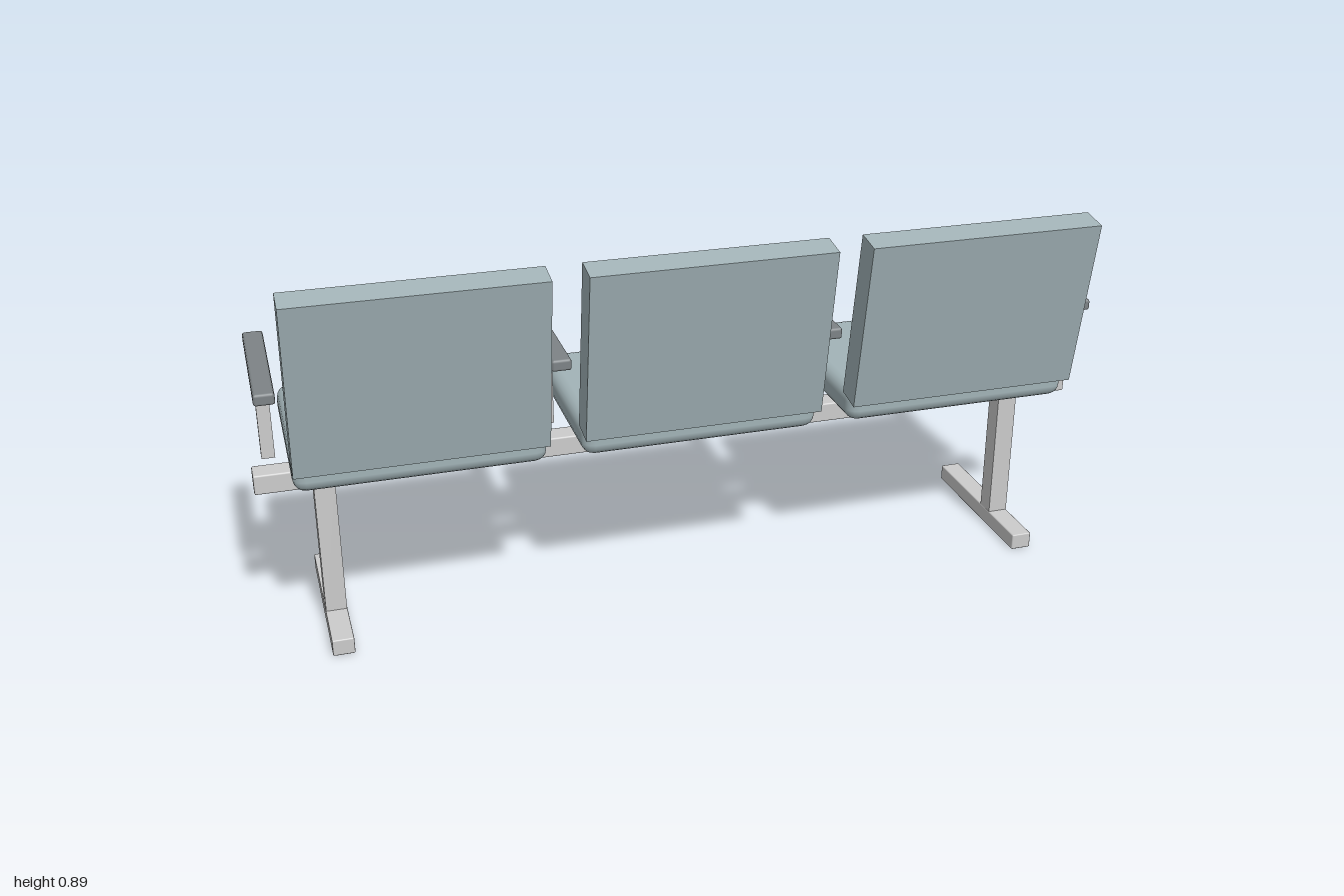
import * as THREE from 'three';
import { RoundedBoxGeometry } from 'three/addons/geometries/RoundedBoxGeometry.js';

const metal = new THREE.MeshStandardMaterial({ color: 0xcccccc });
const upholstery = new THREE.MeshStandardMaterial({ color: 0xa2b3b7 });
const armPad = new THREE.MeshStandardMaterial({ color: 0x7d8386 });

// Box given by its [min, max] extents; a radius rounds the edges.
function block(name, material, [x0, x1], [y0, y1], [z0, z1], radius = 0, segments = 1) {
  const size = [x1 - x0, y1 - y0, z1 - z0];
  const geometry = radius
    ? new RoundedBoxGeometry(...size, segments, radius)
    : new THREE.BoxGeometry(...size);
  const mesh = new THREE.Mesh(geometry, material);
  mesh.name = name;
  mesh.position.set((x0 + x1) / 2, (y0 + y1) / 2, (z0 + z1) / 2);
  return mesh;
}

const around = (x, width) => [x - width / 2, x + width / 2];

// Cushion with softened edges and a slab backrest leaning away from it
function createSeat(x) {
  const seat = new THREE.Group();
  seat.name = 'seat';
  const backrest = new THREE.Mesh(new THREE.BoxGeometry(0.56, 0.418, 0.068), upholstery);
  backrest.name = 'backrest';
  backrest.position.set(x, 0.678, 0.208);
  backrest.rotation.x = THREE.MathUtils.degToRad(10);
  seat.add(
    block('cushion', upholstery, around(x, 0.56), [0.413, 0.49], [-0.277, 0.18], 0.028, 2),
    backrest
  );
  return seat;
}

// Slim post carrying a dark pad
function createArmrest(x) {
  const armrest = new THREE.Group();
  armrest.name = 'armrest';
  armrest.add(
    block('armrestPost', metal, around(x, 0.03), [0.42, 0.626], [-0.043, -0.013]),
    block('armrestPad', armPad, around(x, 0.046), [0.623, 0.65], [-0.217, 0.162], 0.006)
  );
  return armrest;
}

// Upright on a long floor foot
function createLeg(x) {
  const leg = new THREE.Group();
  leg.name = 'leg';
  leg.add(
    block('legPost', metal, around(x, 0.048), [0.02, 0.375], [-0.002, 0.046]),
    block('foot', metal, around(x, 0.05), [0, 0.04], [-0.237, 0.18], 0.003)
  );
  return leg;
}

export function createModel() {
  const bench = new THREE.Group();
  bench.name = 'waitingBench';
  bench.add(block('beam', metal, [-1, 1], [0.363, 0.41], [-0.006, 0.051], 0.004));
  for (const x of [-0.64, 0, 0.64]) bench.add(createSeat(x));
  for (const x of [-0.96, -0.32, 0.32, 0.96]) bench.add(createArmrest(x));
  for (const x of [-0.847, 0.847]) bench.add(createLeg(x));
  return bench;
}
